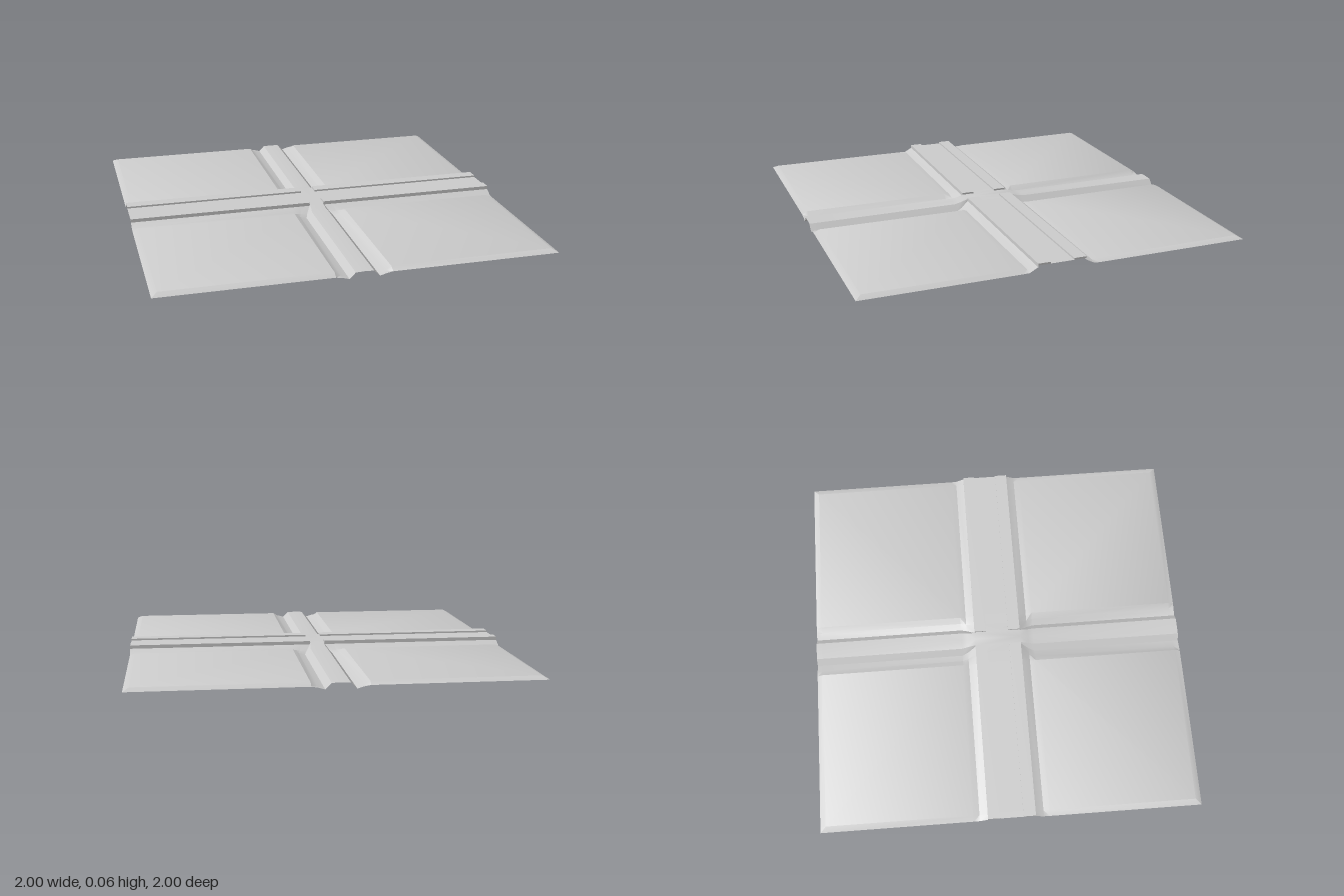
import * as THREE from 'three';
import { toCreasedNormals } from 'three/addons/utils/BufferGeometryUtils.js';

const PLATEAU = 0.048, TOP = 0.057;

// Each row: z, then the x and y of the half cross-section from the path centre outwards
const XS = [0, 0.045, 0.075, 0.11, 0.14, 0.97, 1];
const NEAR = [0, 0.036, 0.04, 0.09, 0.14, 0.97, 1];
const MID = [0, 0.04, 0.063, 0.1, 0.14, 0.97, 1];
const ROWS = [
  { z: 0.125, x: NEAR, y: [PLATEAU, PLATEAU, PLATEAU, PLATEAU, PLATEAU, PLATEAU, PLATEAU] },
  { z: 0.125, x: NEAR, y: [PLATEAU, PLATEAU, 0.039, 0.039, 0.039, 0.039, 0.039] },
  { z: 0.168, x: MID, y: [0.038, 0.036, 0.012, 0.014, 0.022, 0.022, 0.016] },
  { z: 0.2, x: XS, y: [0.033, 0.031, 0, 0.01, 0.028, 0.028, 0.015] },
  { z: 0.97, x: XS, y: [0.032, 0.03, 0, 0.01, 0.03, 0.03, 0.015] },
  { z: 1, x: XS, y: [0.032, 0.03, 0, 0.01, 0.015, 0.015, 0.015] },
];

// Open sheet: fields, sunken verges, path, embankment and kerb, mirrored in x and z
function groundGeometry() {
  const rows = [
    ...ROWS.slice().reverse().map((r) => ({ ...r, z: -r.z })),
    ...ROWS,
  ];
  const n = XS.length, cols = 2 * n - 1;
  const positions = [], index = [];
  for (const row of rows) {
    for (let c = 0; c < cols; c++) {
      const k = Math.abs(c - n + 1);
      positions.push(Math.sign(c - n + 1) * row.x[k], row.y[k], row.z);
    }
  }
  for (let r = 0; r < rows.length - 1; r++) {
    for (let c = 0; c < cols - 1; c++) {
      const a = r * cols + c, b = a + 1, d = a + cols, e = d + 1;
      // mirror the diagonals so both halves match
      if ((c < n - 1) === (r < rows.length / 2)) index.push(a, d, e, a, e, b);
      else index.push(a, d, b, b, d, e);
    }
  }
  const g = new THREE.BufferGeometry();
  g.setAttribute('position', new THREE.Float32BufferAttribute(positions, 3));
  g.setIndex(index);
  return toCreasedNormals(g, 0.5);
}

export function createModel() {
  const model = new THREE.Group();
  model.name = 'crossroadsTile';
  const material = new THREE.MeshStandardMaterial({ color: 0xcccccc, side: THREE.DoubleSide });

  const ground = new THREE.Mesh(groundGeometry(), material);
  ground.name = 'ground';
  model.add(ground);

  // Raised pavements on both sides of the road, broken by the crossing path
  const pavement = new THREE.BoxGeometry(0.96, TOP - PLATEAU, 0.064);
  for (const sx of [-1, 1]) {
    for (const sz of [-1, 1]) {
      const strip = new THREE.Mesh(pavement, material);
      strip.name = (sz > 0 ? 'front' : 'back') + (sx > 0 ? 'Left' : 'Right') + 'Pavement';
      strip.position.set(sx * 0.52, (TOP + PLATEAU) / 2, sz * 0.093);
      model.add(strip);
    }
  }
  return model;
}
